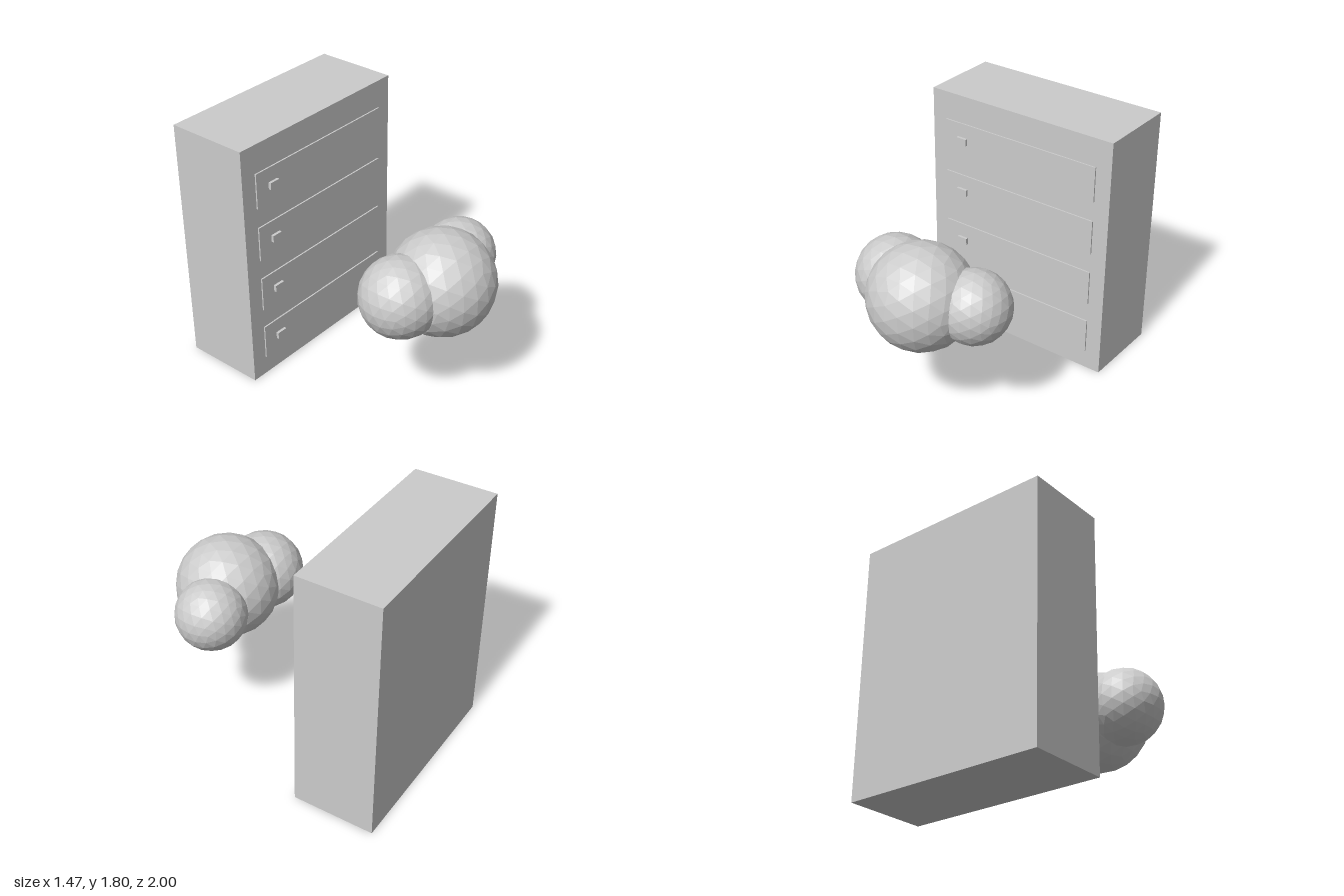
import * as THREE from 'three';

const material = new THREE.MeshStandardMaterial({ color: 0xcccccc, flatShading: true });

function add(parent, name, geometry, x, y, z) {
  const mesh = new THREE.Mesh(geometry, material);
  mesh.name = name;
  mesh.position.set(x, y, z);
  parent.add(mesh);
  return mesh;
}

export function createModel() {
  const model = new THREE.Group();
  model.name = 'dresserAndCloud';

  // Cabinet body
  const dresser = new THREE.Group();
  dresser.name = 'dresser';
  model.add(dresser);
  add(dresser, 'cabinet', new THREE.BoxGeometry(1.467, 1.8, 0.593), 0, 0.9, -0.7);

  // Four thin drawer fronts, each with a small handle on one side
  const frontGeometry = new THREE.BoxGeometry(1.235, 0.255, 0.02);
  const handleGeometry = new THREE.BoxGeometry(0.08, 0.05, 0.02);
  for (let i = 0; i < 4; i++) {
    const drawer = new THREE.Group();
    drawer.name = `drawer${i + 1}`;
    drawer.position.y = 0.27 + i * 0.4;
    dresser.add(drawer);
    add(drawer, 'drawerFront', frontGeometry, 0, 0, -0.403);
    add(drawer, 'handle', handleGeometry, -0.47, 0, -0.382);
  }

  // Faceted cloud of three overlapping puffs
  const cloud = new THREE.Group();
  cloud.name = 'cloud';
  model.add(cloud);
  const puffs = [
    ['middlePuff', 0.366, 0, 0.634],
    ['rightPuff', 0.278, -0.302, 0.528],
    ['leftPuff', 0.252, 0.343, 0.524],
  ];
  for (const [name, radius, x, z] of puffs) {
    add(cloud, name, new THREE.IcosahedronGeometry(radius, 3), x, 0.902, z);
  }

  return model;
}
